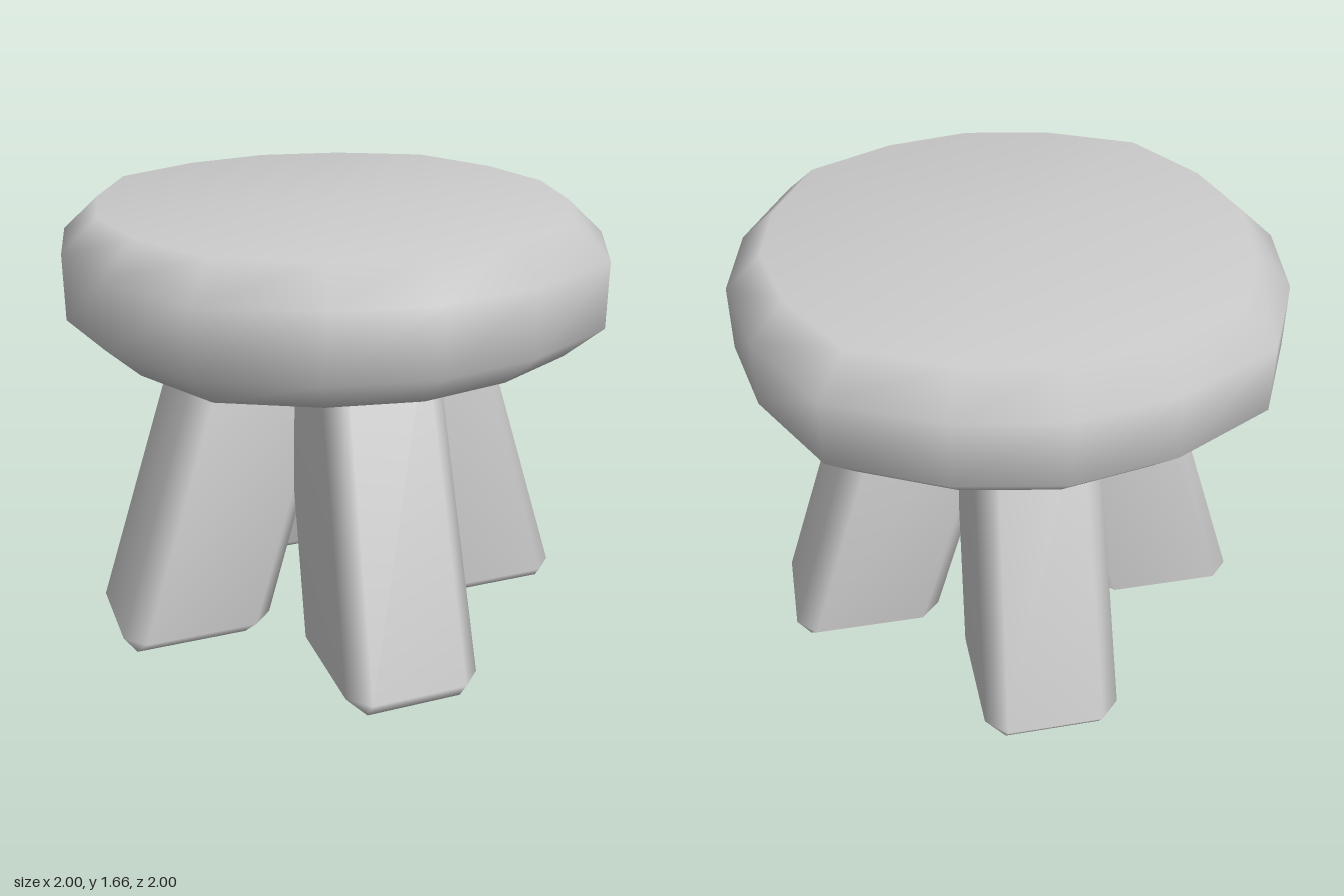
import * as THREE from 'three';
import { mergeVertices } from 'three/addons/utils/BufferGeometryUtils.js';

// Closed, smooth-shaded loft through rings of [x, y, z] points, bottom to top
function loft(rings) {
  const n = rings[0].length;
  const last = (rings.length - 1) * n;
  const points = rings.flat();
  const centre = (ring) => [0, 1, 2].map((k) => ring.reduce((s, p) => s + p[k], 0) / n);
  const bottom = points.push(centre(rings[0])) - 1;
  const top = points.push(centre(rings[rings.length - 1])) - 1;
  const index = [];
  for (let i = 0; i < n; i++) {
    const j = (i + 1) % n;
    for (let r = 0; r < last; r += n) {
      index.push(r + i, r + n + i, r + j, r + j, r + n + i, r + n + j);
    }
    index.push(bottom, i, j, top, last + j, last + i);
  }
  const geometry = new THREE.BufferGeometry();
  geometry.setAttribute('position', new THREE.Float32BufferAttribute(points.flat(), 3));
  geometry.setIndex(index);
  const merged = mergeVertices(geometry, 1e-4);
  merged.computeVertexNormals();
  return merged;
}

// Sixteen-sided seat outline, one quarter turned four times
function seatRing(y, scale) {
  const quarter = [[1, 0], [0.93, 0.37], [0.74, 0.74], [0.37, 0.93]];
  const ring = [];
  for (let q = 0; q < 4; q++) {
    const c = [1, 0, -1, 0][q], s = [0, 1, 0, -1][q];
    for (const [x, z] of quarter) ring.push([(x * c - z * s) * scale, y, (x * s + z * c) * scale]);
  }
  return ring;
}

// Rectangle with cut corners: half width w, from z = a to z = b
function legRing(y, w, a, b, cut) {
  return [
    [w, a + cut], [w, b - cut], [w - cut, b], [cut - w, b],
    [-w, b - cut], [-w, a + cut], [cut - w, a], [w - cut, a],
  ].map(([x, z]) => [x, y, z]);
}

export function createModel() {
  const group = new THREE.Group();
  group.name = 'stool';
  const material = new THREE.MeshStandardMaterial({ color: 0xcccccc });

  // Thick round seat with bevelled rims
  const seat = new THREE.Mesh(
    loft([seatRing(1.18, 0.87), seatRing(1.3, 1), seatRing(1.54, 1), seatRing(1.66, 0.87)]),
    material,
  );
  seat.name = 'seat';
  group.add(seat);

  // Four splayed, chamfered legs that merge under the seat
  const legGeometry = loft([
    legRing(0, 0.18, 0.43, 0.86, 0),
    legRing(0.07, 0.255, 0.33, 0.91, 0.075),
    legRing(1.25, 0.223, -0.02, 0.54, 0.075),
  ]);
  ['frontLeg', 'leftLeg', 'backLeg', 'rightLeg'].forEach((name, i) => {
    const leg = new THREE.Mesh(legGeometry, material);
    leg.name = name;
    leg.rotation.y = (i * Math.PI) / 2;
    group.add(leg);
  });

  return group;
}
